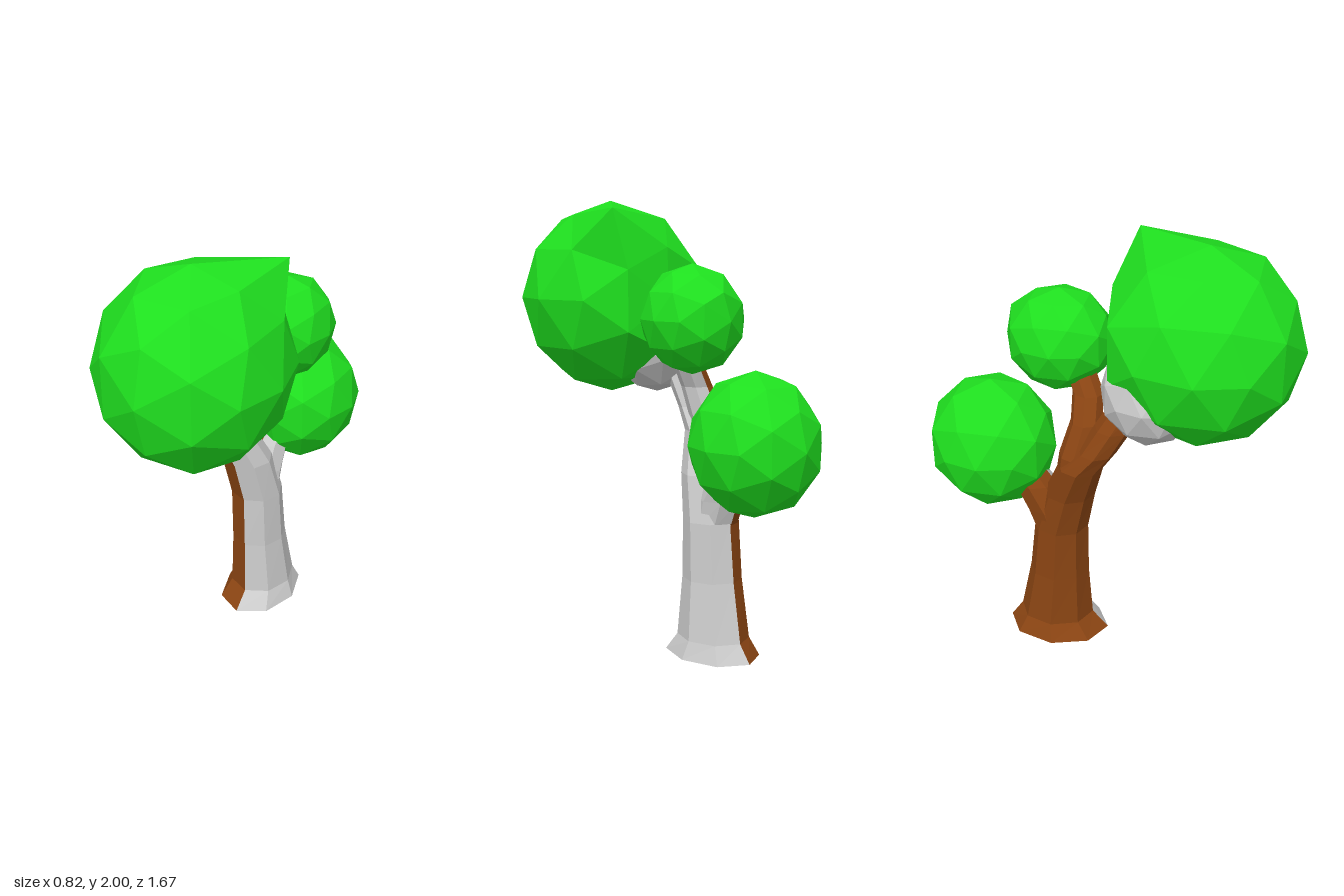
import * as THREE from 'three';

const material = (color) =>
  new THREE.MeshStandardMaterial({ color, flatShading: true, side: THREE.DoubleSide });
const GREY = material(0xcccccc);
const BROWN = material(0x8b4513);
const GREEN = material(0x1fe01f);
const SIDES = 8;

// Half of an eight-sided limb; each ring is [x, y, z, radiusX, radiusZ].
function limbHalf(rings, start, mat, name) {
  const point = ([x, y, z, rx, rz], i) => {
    const t = (i / SIDES) * Math.PI * 2;
    return [x + rx * Math.sin(t), y, z + rz * Math.cos(t)];
  };
  const pos = [];
  const first = rings[0];
  const last = rings[rings.length - 1];
  for (let i = start; i < start + SIDES / 2; i++) {
    for (let r = 0; r < rings.length - 1; r++) {
      const a = point(rings[r], i), b = point(rings[r], i + 1);
      const c = point(rings[r + 1], i + 1), d = point(rings[r + 1], i);
      pos.push(...a, ...b, ...c, ...a, ...c, ...d);
    }
    // end caps
    pos.push(...first.slice(0, 3), ...point(first, i + 1), ...point(first, i));
    pos.push(...last.slice(0, 3), ...point(last, i), ...point(last, i + 1));
  }
  const geo = new THREE.BufferGeometry();
  geo.setAttribute('position', new THREE.Float32BufferAttribute(pos, 3));
  geo.computeVertexNormals();
  const mesh = new THREE.Mesh(geo, mat);
  mesh.name = name;
  return mesh;
}

// Limb with grey bark on its left side and brown bark on its right side.
function limb(name, rings) {
  const group = new THREE.Group();
  group.name = name;
  group.add(limbHalf(rings, 0, GREY, name + 'LeftBark'));
  group.add(limbHalf(rings, SIDES / 2, BROWN, name + 'RightBark'));
  return group;
}

// Faceted clump: stretched icosphere, optionally flattened at the back (minZ)
// and with single corners pulled out to given points.
function clump(name, mat, center, radii, { minZ = -Infinity, backStretch = 1, corners = [] } = {}) {
  const geo = new THREE.IcosahedronGeometry(1, 1);
  const p = geo.attributes.position;
  const v = new THREE.Vector3();
  const c = new THREE.Vector3(...center);
  const r = new THREE.Vector3(...radii);
  for (let i = 0; i < p.count; i++) {
    v.fromBufferAttribute(p, i).multiply(r);
    if (v.z < 0) v.z *= backStretch;
    v.add(c);
    v.z = Math.max(v.z, minZ);
    p.setXYZ(i, v.x, v.y, v.z);
  }
  for (const corner of corners) {
    const target = new THREE.Vector3(...corner);
    const dist = [];
    for (let i = 0; i < p.count; i++) dist.push(v.fromBufferAttribute(p, i).distanceTo(target));
    const nearest = Math.min(...dist);
    dist.forEach((d, i) => { if (d < nearest + 1e-4) p.setXYZ(i, ...corner); });
  }
  geo.computeVertexNormals();
  const mesh = new THREE.Mesh(geo, mat);
  mesh.name = name;
  return mesh;
}

export function createModel() {
  const tree = new THREE.Group();
  tree.name = 'tree';

  // Trunk, curving forward and to the right into the front limb
  tree.add(limb('trunk', [
    [-0.05, 0, -0.24, 0.18, 0.24],
    [-0.045, 0.08, -0.25, 0.145, 0.175],
    [-0.055, 0.34, -0.23, 0.125, 0.14],
    [-0.06, 0.6, -0.215, 0.122, 0.125],
    [-0.085, 0.8, -0.165, 0.12, 0.115],
    [-0.145, 0.98, -0.1, 0.107, 0.1],
    [-0.16, 1.08, -0.02, 0.1, 0.085],
    [-0.15, 1.2, 0.05, 0.09, 0.085],
    [-0.13, 1.32, 0.12, 0.07, 0.08],
  ]));

  // Limb rising to the upper rear clump
  tree.add(limb('middleLimb', [
    [-0.13, 0.9, -0.13, 0.09, 0.09],
    [-0.13, 1.03, -0.12, 0.085, 0.08],
    [-0.09, 1.18, -0.085, 0.07, 0.07],
    [-0.03, 1.29, -0.09, 0.065, 0.07],
    [0.03, 1.4, -0.15, 0.06, 0.07],
  ]));

  // Limb reaching back to the lower rear clump
  tree.add(limb('backLimb', [
    [-0.065, 0.58, -0.235, 0.1, 0.1],
    [-0.065, 0.7, -0.27, 0.1, 0.11],
    [-0.06, 0.82, -0.34, 0.09, 0.1],
    [-0.04, 0.95, -0.43, 0.07, 0.08],
  ]));

  // Bare grey clump under the crown
  tree.add(clump('innerClump', GREY, [-0.1, 1.36, 0.2], [0.23, 0.23, 0.22],
    { corners: [[-0.08, 1.58, 0.02]] }));

  // Leaf clumps
  tree.add(clump('crownLeaves', GREEN, [0, 1.56, 0.415], [0.41, 0.44, 0.42],
    { minZ: 0, backStretch: 1.13, corners: [[0.25, 1.96, 0.08]] }));
  tree.add(clump('upperRearLeaves', GREEN, [0.07, 1.49, -0.235], [0.215, 0.235, 0.24],
    { corners: [[0.1, 1.61, -0.46]] }));
  tree.add(clump('lowerRearLeaves', GREEN, [-0.01, 0.98, -0.54], [0.28, 0.31, 0.295]));

  return tree;
}
